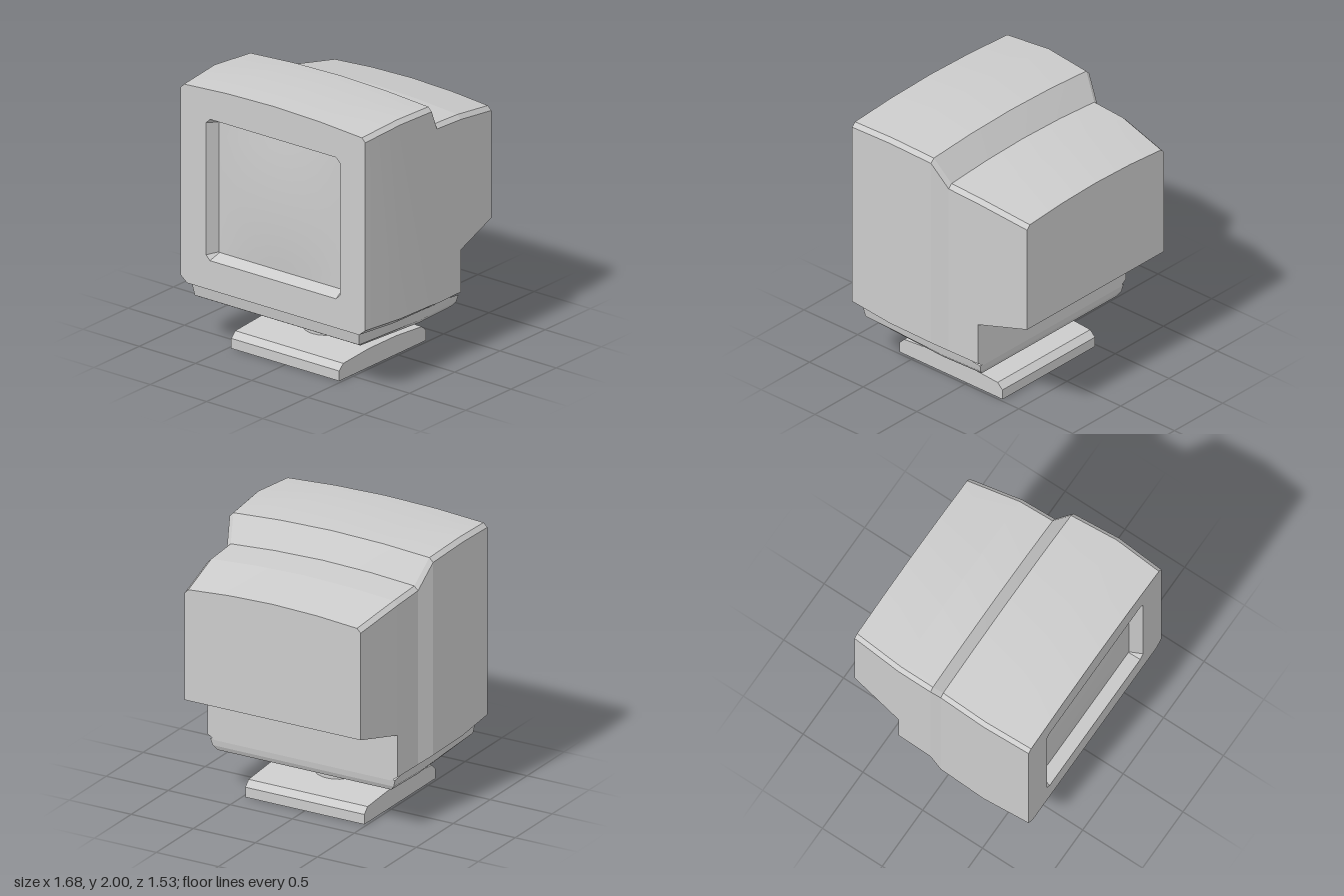
import * as THREE from 'three';
import { toCreasedNormals } from 'three/addons/utils/BufferGeometryUtils.js';

const material = new THREE.MeshStandardMaterial({ color: 0xcccccc });

function addMesh(parent, name, geometry) {
  const mesh = new THREE.Mesh(geometry, material);
  mesh.name = name;
  parent.add(mesh);
  return mesh;
}

// Skin a list of closed rings; optionally close the last one with a fan.
function loft(rings, capEnd = true) {
  const n = rings[0].length;
  const index = [];
  for (let r = 0; r < rings.length - 1; r++) {
    for (let i = 0; i < n; i++) {
      const a = r * n + i, b = r * n + (i + 1) % n;
      index.push(a, a + n, b, b, a + n, b + n);
    }
  }
  const last = (rings.length - 1) * n;
  if (capEnd) for (let i = 1; i < n - 1; i++) index.push(last, last + i + 1, last + i);
  const geometry = new THREE.BufferGeometry();
  geometry.setAttribute('position', new THREE.Float32BufferAttribute(rings.flat(2), 3));
  geometry.setIndex(index);
  return toCreasedNormals(geometry, 0.3);
}

// Cross-section of the housing: crowned top, chamfered shoulders.
function housingRing({ z, w, top, bottom, chamfer }) {
  const half = [[w, bottom], [w, top - 0.065], [w - 0.03, top - 0.035], [w / 2, top - 0.01]];
  if (chamfer) half.unshift([w - 0.055, bottom - chamfer]);
  const mirrored = half.map(([x, y]) => [-x, y]).reverse();
  return [...half, [0, top], ...mirrored].map(([x, y]) => [x, y, z]);
}

// Rectangle with clipped corners, clockwise seen from the front.
function screenRing(w, y0, y1, c, z) {
  return [
    [-w, y0 + c], [-w, y1 - c], [-w + c, y1], [w - c, y1],
    [w, y1 - c], [w, y0 + c], [w - c, y0], [-w + c, y0],
  ].map(([x, y]) => [x, y, z]);
}

const toVectors = (ring) => ring.map(([x, y]) => new THREE.Vector2(x, y));

export function createModel() {
  const model = new THREE.Group();
  model.name = 'monitor';

  // Main housing and the narrower tube housing behind it
  const mainRings = [
    { z: 0.765, w: 0.82, top: 1.975, bottom: 0.505, chamfer: 0.045 },
    { z: 0.40, w: 0.84, top: 2.0, bottom: 0.485, chamfer: 0.045 },
    { z: 0.03, w: 0.82, top: 1.975, bottom: 0.463, chamfer: 0.04 },
    { z: -0.09, w: 0.77, top: 1.795, bottom: 0.425, chamfer: 0.035 },
    { z: -0.36, w: 0.765, top: 1.78, bottom: 0.425, chamfer: 0.035 },
  ].map(housingRing);
  addMesh(model, 'mainHousing', loft(mainRings));
  addMesh(model, 'rearHousing', loft([
    { z: -0.36, w: 0.765, top: 1.78, bottom: 0.74 },
    { z: -0.765, w: 0.71, top: 1.705, bottom: 0.837 },
  ].map(housingRing)));

  // Front bezel with the screen opening
  const opening = screenRing(0.595, 0.678, 1.735, 0.035, 0.765);
  const bezel = new THREE.Shape(toVectors(mainRings[0]));
  bezel.holes.push(new THREE.Path(toVectors(opening)));
  addMesh(model, 'bezel', new THREE.ShapeGeometry(bezel)).position.z = 0.765;
  const inner = screenRing(0.55, 0.715, 1.695, 0.004, 0.675);
  addMesh(model, 'screenSurround', loft([opening, inner], false));

  // Slightly bulging screen
  const screen = new THREE.PlaneGeometry(1.11, 0.99, 10, 10);
  const p = screen.attributes.position;
  for (let i = 0; i < p.count; i++) {
    const u = p.getX(i) / 0.555, v = p.getY(i) / 0.495;
    p.setZ(i, 0.025 * (1 - u * u) * (1 - v * v));
  }
  screen.computeVertexNormals();
  addMesh(model, 'screen', screen).position.set(0, 1.205, 0.675);

  // Tray under the housing, bent across its width
  const trayRing = ({ w, z: [z0, z1, z2], y: [y0, y1, y2] }) => [
    [w, y1, z1], [w, y2, z2], [-w, y2, z2], [-w, y1, z1], [-w, y0, z0], [w, y0, z0],
  ];
  addMesh(model, 'tray', loft([
    { w: 0.745, z: [0.74, 0.03, -0.36], y: [0.47, 0.44, 0.40] },
    { w: 0.73, z: [0.722, 0.03, -0.352], y: [0.363, 0.335, 0.345] },
    { w: 0.70, z: [0.67, 0.02, -0.335], y: [0.335, 0.30, 0.31] },
  ].map(trayRing)));

  // Swivel bowl and neck
  const bowl = [[0.18, 0.2], [0.27, 0.235], [0.34, 0.27], [0.385, 0.305], [0.4, 0.33]];
  const swivel = new THREE.LatheGeometry([[0, 0.2], ...bowl].map(([r, y]) => new THREE.Vector2(r, y)), 24);
  addMesh(model, 'swivelBowl', toCreasedNormals(swivel, 0.5)).position.z = 0.15;
  const neck = new THREE.CylinderGeometry(0.18, 0.18, 0.09, 24, 1, true);
  addMesh(model, 'neck', neck).position.set(0, 0.165, 0.15);

  // Square foot with bevelled front and back, drawn in (-z, y) and extruded along x
  const footHalf = [[0.48, 0], [0.48, 0.075], [0.435, 0.118], [0.15, 0.14]];
  const footProfile = [...footHalf, ...footHalf.map(([u, y]) => [-u, y]).reverse()];
  const foot = new THREE.ExtrudeGeometry(new THREE.Shape(toVectors(footProfile)),
    { depth: 0.96, bevelEnabled: false });
  foot.translate(0, 0, -0.48).rotateY(Math.PI / 2);
  addMesh(model, 'foot', foot).position.z = 0.15;

  return model;
}
